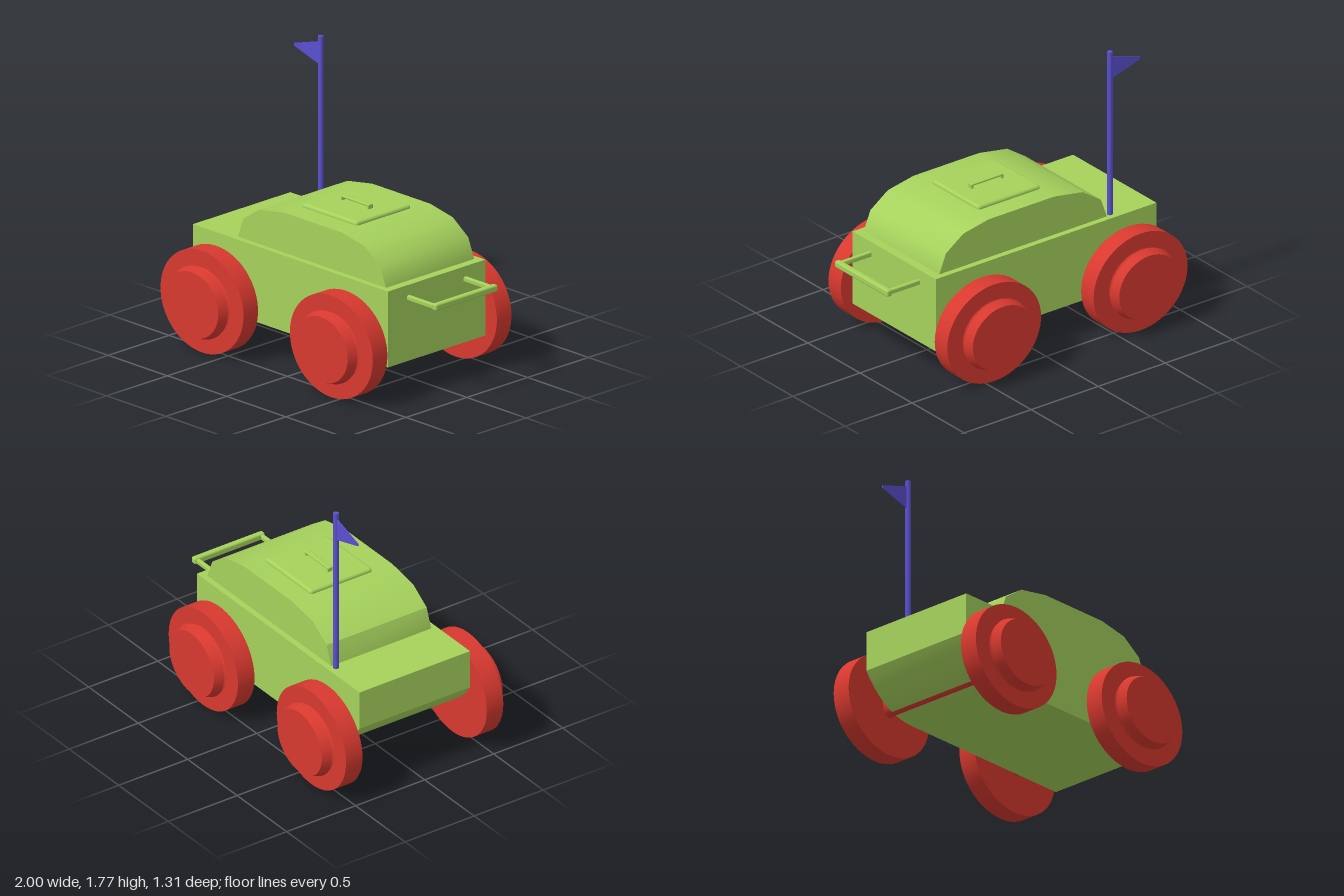
import * as THREE from 'three';
import { toCreasedNormals } from 'three/addons/utils/BufferGeometryUtils.js';
import { RoundedBoxGeometry } from 'three/addons/geometries/RoundedBoxGeometry.js';

const green = new THREE.MeshStandardMaterial({ color: 0xa6d25c });
const red = new THREE.MeshStandardMaterial({ color: 0xd8392f });
const blue = new THREE.MeshStandardMaterial({ color: 0x5a50d0, side: THREE.DoubleSide });

export function createModel() {
  const model = new THREE.Group();
  model.name = 'toyBuggy';

  const add = (name, geometry, material, x = 0, y = 0, z = 0) => {
    const mesh = new THREE.Mesh(geometry, material);
    mesh.name = name;
    mesh.position.set(x, y, z);
    model.add(mesh);
    return mesh;
  };
  // Side profile extruded evenly about z = 0
  const slab = (shape, depth) =>
    toCreasedNormals(
      new THREE.ExtrudeGeometry(shape, { depth, bevelEnabled: false, curveSegments: 10 })
        .translate(0, 0, -depth / 2), 0.6);

  // Body with a rounded lower rear corner
  const body = new THREE.Shape();
  body.moveTo(0.745, 0.225);
  body.lineTo(0.745, 0.7);
  body.lineTo(-0.9, 0.7);
  body.lineTo(-0.9, 0.45);
  body.quadraticCurveTo(-0.75, 0.225, -0.5, 0.225);
  body.closePath();
  add('body', slab(body, 0.8), green);

  // Domed cabin
  const cabin = new THREE.Shape([
    [0.69, 0.69], [0.69, 0.7], [0.64, 0.823], [0.51, 0.914], [0.32, 0.95],
    [-0.17, 0.95], [-0.38, 0.914], [-0.515, 0.823], [-0.56, 0.7], [-0.56, 0.69],
  ].map(([x, y]) => new THREE.Vector2(x, y)));
  add('cabin', slab(cabin, 0.725), green);

  // Roof hatch and its grip
  add('hatch', new RoundedBoxGeometry(0.465, 0.045, 0.45, 3, 0.018), green, 0.063, 0.951, -0.005);
  add('hatchGripBar', new RoundedBoxGeometry(0.24, 0.014, 0.034, 2, 0.006), green, 0.065, 0.995, -0.005);
  for (const side of [-1, 1]) {
    add('hatchGripPost', new THREE.BoxGeometry(0.014, 0.03, 0.034), green, 0.065 + side * 0.112, 0.982, -0.005);
  }

  // Push bar at the end of the body
  for (const side of [-1, 1]) {
    add('pushBarArm', new RoundedBoxGeometry(0.26, 0.032, 0.026, 2, 0.008), green, 0.85, 0.62, -0.003 + side * 0.233);
  }
  add('pushBar', new RoundedBoxGeometry(0.04, 0.044, 0.51, 2, 0.012), green, 0.978, 0.622, -0.005);

  // Slightly flattened wheels: tyre, waist and tapered hub in one turned profile
  const profile = [
    [0, 0.45], [0.35, 0.45], [0.35, 0.57], [0.235, 0.57], [0.195, 0.595],
    [0.245, 0.595], [0.225, 0.655], [0, 0.655],
  ].map(([r, h]) => new THREE.Vector2(r, h));
  const wheelGeometry = toCreasedNormals(
    new THREE.LatheGeometry(profile, 64).rotateX(Math.PI / 2).scale(1, 0.91, 1), 0.5);
  for (const x of [-0.65, 0.442]) {
    for (const side of [0, 1]) {
      const wheel = add('wheel', wheelGeometry, red, x, 0.322, 0);
      wheel.rotation.y = side * Math.PI;
    }
    add('axle', new THREE.CylinderGeometry(0.05, 0.05, 0.92, 32)
      .rotateX(Math.PI / 2).scale(1, 1.54, 1), red, x, 0.323, 0);
  }

  // Flagpole and pennant
  add('flagpole', new THREE.CylinderGeometry(0.017, 0.017, 1.09, 16), blue, -0.592, 1.225, -0.35);
  const flag = new THREE.Shape([
    [-0.595, 1.587], [-0.595, 1.735], [-0.815, 1.668], [-0.815, 1.652],
  ].map(([x, y]) => new THREE.Vector2(x, y)));
  add('flag', slab(flag, 0.006), blue, 0, 0, -0.35);

  return model;
}
